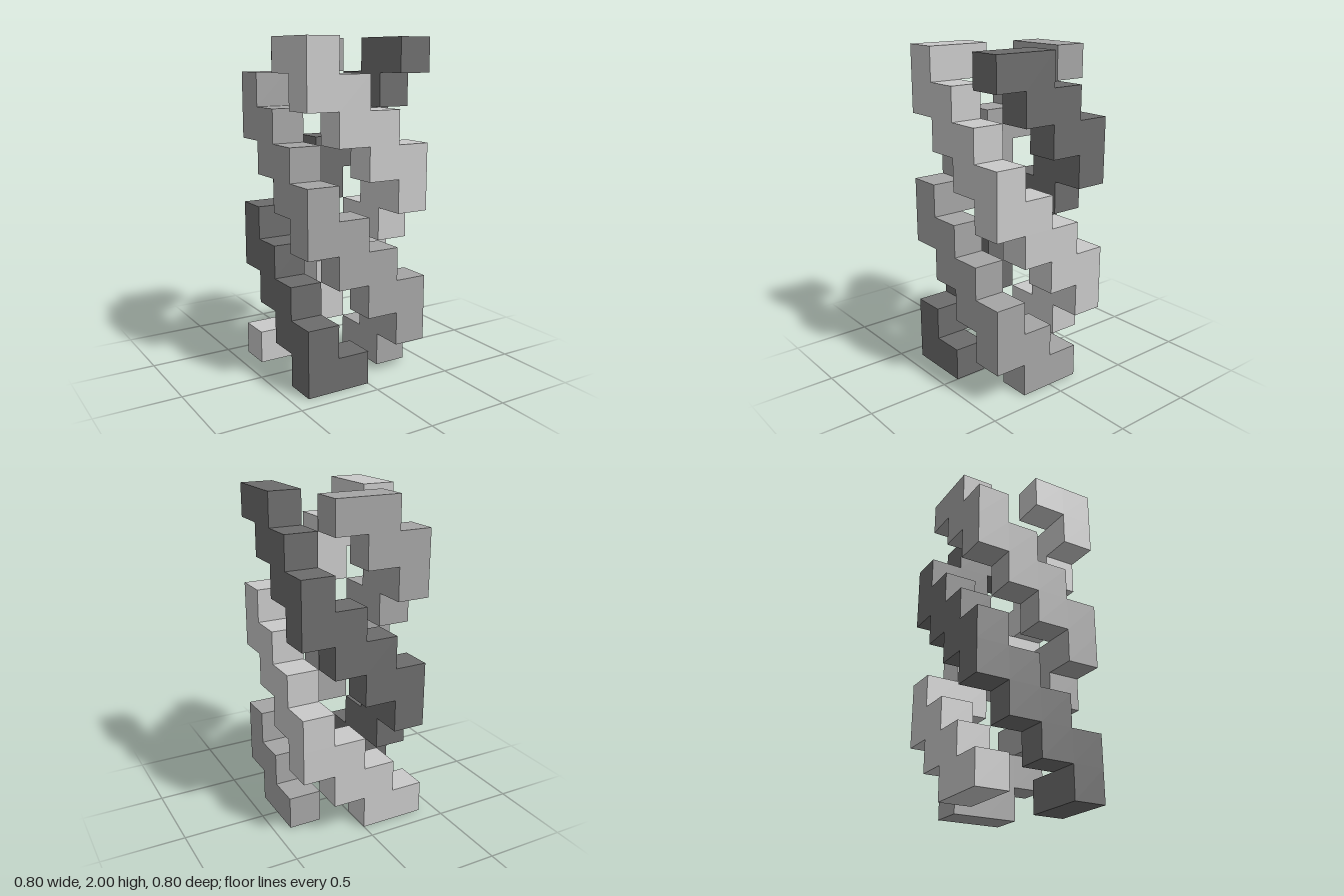
import * as THREE from 'three';
import { mergeGeometries } from 'three/addons/utils/BufferGeometryUtils.js';

const S = 0.2;       // cube size
const LAYERS = 10;   // tower height in cubes

// The 12 cells around a 4 x 4 ring, in order: front, right, back, left
const RING = [];
for (let side = 0; side < 4; side++) {
  for (let k = 0; k < 3; k++) {
    let [x, z] = [k - 1.5, 1.5];
    for (let t = 0; t < side; t++) [x, z] = [z, -x];
    RING.push([x, z]);
  }
}

// The six faces of a cube: outward direction and the turn that aims a plane there
const FACES = [
  { d: [0, 0, 1], rot: [0, 0] },
  { d: [0, 0, -1], rot: [0, Math.PI] },
  { d: [1, 0, 0], rot: [0, Math.PI / 2] },
  { d: [-1, 0, 0], rot: [0, -Math.PI / 2] },
  { d: [0, 1, 0], rot: [-Math.PI / 2, 0] },
  { d: [0, -1, 0], rot: [Math.PI / 2, 0] },
];

// Cubes of a strand stepping down one layer per ring cell, two cubes tall
function strandCells(start) {
  const cells = [];
  for (let u = -12; u <= 12; u++) {
    const [x, z] = RING[(u + 12) % 12];
    for (const y of [start - u, start - u - 1]) {
      if (y >= 0 && y < LAYERS) cells.push([x, y, z]);
    }
  }
  return cells;
}

// Outer skin only: faces shared by two cubes are left out
function skin(cells) {
  const filled = new Set(cells.map((c) => c.join()));
  const parts = [];
  for (const c of cells) {
    for (const { d, rot } of FACES) {
      if (filled.has(c.map((v, i) => v + d[i]).join())) continue;
      const g = new THREE.PlaneGeometry(S, S).rotateX(rot[0]).rotateY(rot[1]);
      g.translate(
        (c[0] + d[0] / 2) * S,
        (c[1] + 0.5 + d[1] / 2) * S,
        (c[2] + d[2] / 2) * S
      );
      parts.push(g);
    }
  }
  return mergeGeometries(parts);
}

export function createModel() {
  const model = new THREE.Group();
  model.name = 'tripleHelixTower';

  // Three interlaced stepped strands, four layers apart
  const strands = [
    { name: 'light', color: 0xc9c9c9, start: 9 },
    { name: 'medium', color: 0xa5a5a5, start: 5 },
    { name: 'dark', color: 0x6c6c6c, start: 1 },
  ];
  for (const { name, color, start } of strands) {
    const material = new THREE.MeshStandardMaterial({ color });
    material.name = `${name}Grey`;
    const mesh = new THREE.Mesh(skin(strandCells(start)), material);
    mesh.name = `${name}Strand`;
    model.add(mesh);
  }
  return model;
}
